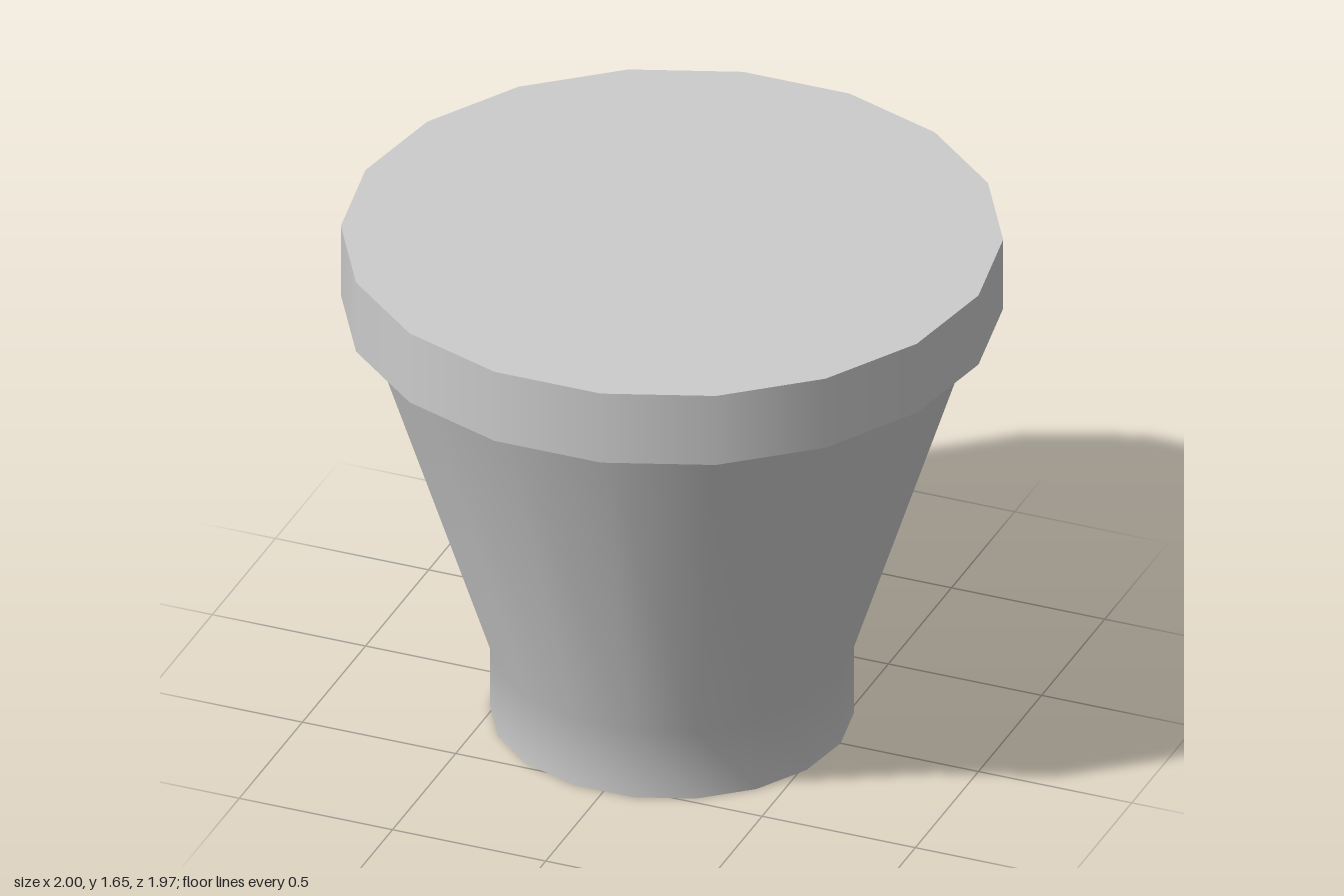
import * as THREE from 'three';

const SIDES = 18;
const START = Math.PI / 2; // puts a corner on the +x axis

export function createModel() {
  const group = new THREE.Group();
  group.name = 'flowerPot';
  const material = new THREE.MeshStandardMaterial({ color: 0xcccccc });

  function add(name, geometry, y = 0) {
    const mesh = new THREE.Mesh(geometry, material);
    mesh.name = name;
    mesh.position.y = y;
    group.add(mesh);
  }

  // Straight foot flowing smoothly into the flared wall
  const profile = [[0.55, 0], [0.55, 0.23], [0.94, 1.415]]
    .map(([r, y]) => new THREE.Vector2(r, y));
  add('body', new THREE.LatheGeometry(profile, SIDES, START));

  // Flat underside of the foot
  add('base', new THREE.CircleGeometry(0.55, SIDES).rotateX(Math.PI / 2));

  // Thick overhanging rim, closed on top
  const rimHeight = 0.24;
  add('rim', new THREE.CylinderGeometry(1, 1, rimHeight, SIDES, 1, false, START), 1.415 + rimHeight / 2);

  return group;
}
